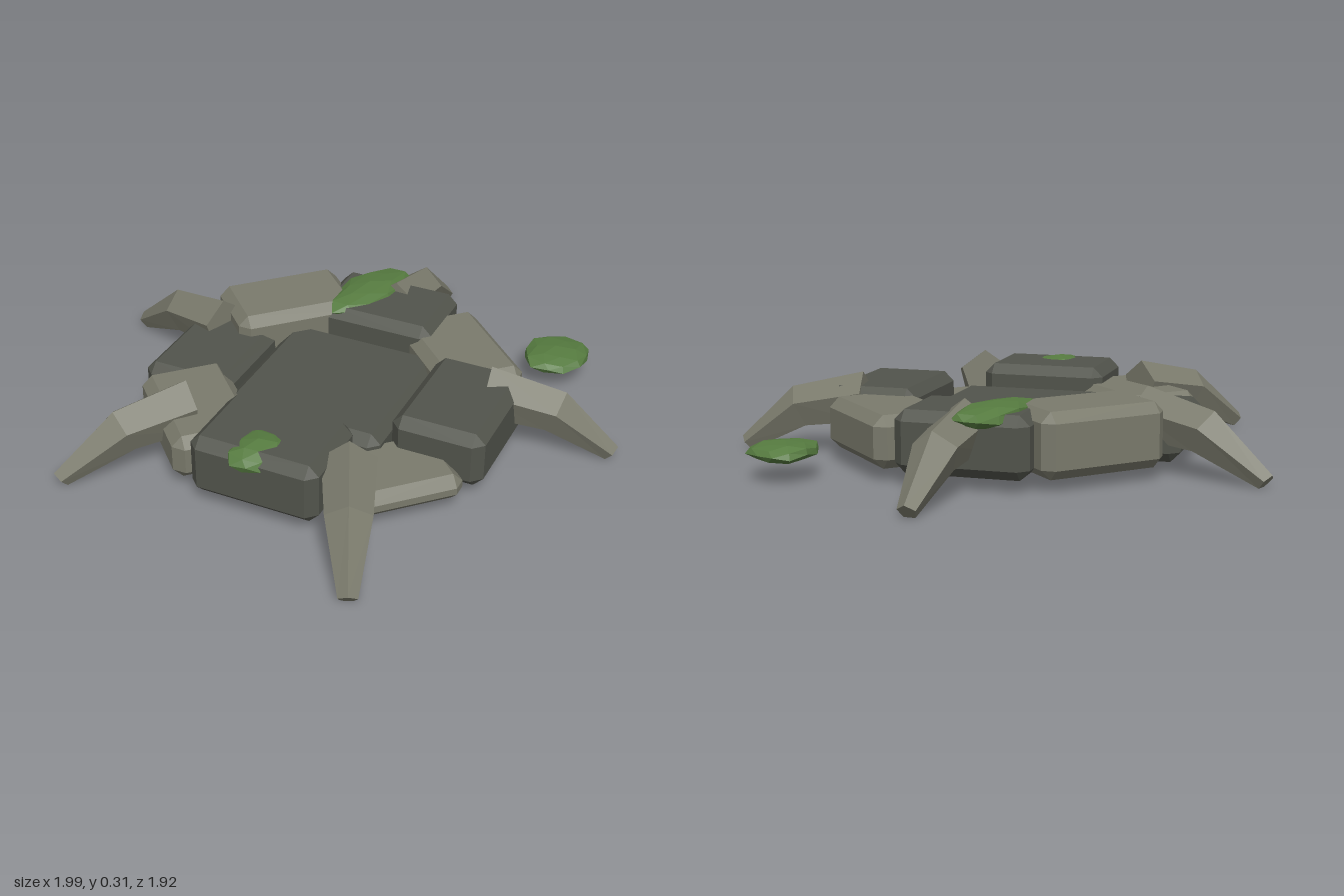
import * as THREE from 'three';
import { ConvexGeometry } from 'three/addons/geometries/ConvexGeometry.js';

const material = (name, color) => {
  const m = new THREE.MeshStandardMaterial({ color });
  m.name = name;
  return m;
};

// Box with every edge cut flat by the bevel
function chamferedBox(w, h, d, bevel) {
  const points = [];
  for (const sx of [-1, 1]) for (const sy of [-1, 1]) for (const sz of [-1, 1]) {
    for (let full = 0; full < 3; full++) {
      const inset = [0, 1, 2].map(i => (i === full ? 0 : bevel));
      points.push(new THREE.Vector3(
        sx * (w / 2 - inset[0]), sy * (h / 2 - inset[1]), sz * (d / 2 - inset[2])));
    }
  }
  return new ConvexGeometry(points);
}

// Five-sided tapering spike, bent down along +z, ridge on top
function clawGeometry(length) {
  const rings = [ // distance, height, radius, downward pitch
    [0, 0.212, 0.1, 0.08],
    [0.25, 0.172, 0.085, 0.4],
    [length - 0.02, 0.026, 0.035, 0.7],
  ];
  const geo = new THREE.CylinderGeometry(1, 1, 2, 5, 2).toNonIndexed();
  const p = geo.attributes.position;
  for (let i = 0; i < p.count; i++) {
    const [s, y, r, pitch] = rings[Math.round(p.getY(i)) + 1];
    const up = p.getZ(i) * r;
    p.setXYZ(i, -p.getX(i) * r, y + up * Math.cos(pitch), s + up * Math.sin(pitch));
  }
  geo.computeVertexNormals();
  return geo;
}

// Faceted, slightly uneven clump
function clumpGeometry(rx, ry, rz) {
  const geo = new THREE.IcosahedronGeometry(1, 1);
  const p = geo.attributes.position;
  const v = new THREE.Vector3();
  for (let i = 0; i < p.count; i++) {
    v.fromBufferAttribute(p, i);
    v.multiplyScalar(0.97 + 0.07 * Math.sin(v.x * 5 + v.y * 3 + v.z * 7));
    p.setXYZ(i, v.x * rx, v.y * ry, v.z * rz);
  }
  geo.computeVertexNormals();
  return geo;
}

export function createModel() {
  const model = new THREE.Group();
  model.name = 'stoneRing';
  const dark = material('darkStone', 0x52544c);
  const light = material('lightStone', 0x7a7a6c);
  const moss = material('moss', 0x557a3f);
  const add = (name, geo, mat, x, y, z, turn = 0) => {
    const mesh = new THREE.Mesh(geo, mat);
    mesh.name = name;
    mesh.position.set(x, y, z);
    mesh.rotation.y = turn;
    model.add(mesh);
  };

  const centreZ = 0.085, base = 0.05, bevel = 0.037;

  // Square slab in the middle
  add('centreSlab', chamferedBox(0.62, 0.15, 0.62, bevel), dark,
    0, base + 0.075, centreZ, Math.PI / 8);

  // Eight slabs around it, alternating in colour, each with its own top height
  const tops = [0.265, 0.24, 0.275, 0.285, 0.215, 0.22, 0.28, 0.15];
  tops.forEach((top, i) => {
    const angle = Math.PI / 8 + i * Math.PI / 4;
    const inner = i % 2 ? 0.35 : 0.325, outer = 0.67;
    const r = (inner + outer) / 2;
    const h = top - base;
    add(i % 2 ? 'lightRingSlab' : 'darkRingSlab',
      chamferedBox(0.485, h, outer - inner, Math.min(bevel, h * 0.4)), i % 2 ? light : dark,
      Math.sin(angle) * r, base + h / 2, centreZ + Math.cos(angle) * r, angle);
  });

  // Five claws: base x, z and tip x, z
  const claws = [
    [-0.065, -0.46, -0.09, -0.97],
    [-0.51, -0.12, -0.995, -0.28],
    [0.52, -0.12, 0.995, -0.28],
    [-0.335, 0.53, -0.675, 0.89],
    [0.35, 0.535, 0.605, 0.945],
  ];
  for (const [x, z, tx, tz] of claws) {
    add('claw', clawGeometry(Math.hypot(tx - x, tz - z)), light,
      x, 0, z, Math.atan2(tx - x, tz - z));
  }

  // Moss clumps on two slabs and one beside the ring
  add('mossPatch', clumpGeometry(0.22, 0.045, 0.105), moss, 0.465, 0.262, -0.21, 0.12);
  add('mossPatch', clumpGeometry(0.125, 0.052, 0.1), moss, -0.54, 0.242, 0.3);
  add('looseMoss', clumpGeometry(0.138, 0.039, 0.125), moss, 0.85, 0.107, 0.435);
  return model;
}
